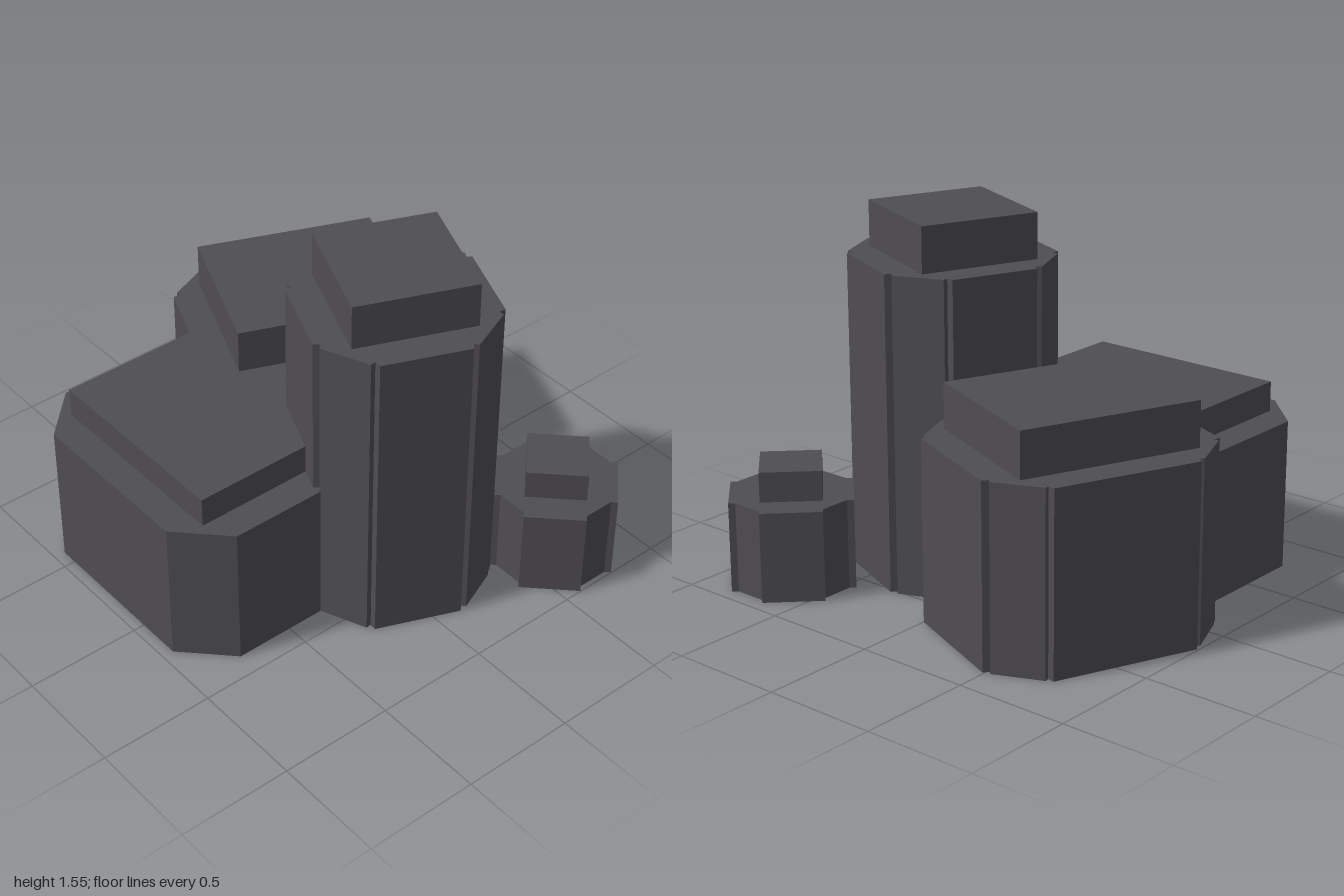
import * as THREE from 'three';

// Plan outline of a chamfered block: half sizes hu, hv, flat half lengths fu, fv,
// with a small notch beside every flat side (depth n, lip l).
function outline({ hu, hv, fu, fv, n, l }) {
  const half = (h, f) => {
    const pts = [[h, f]];
    if (n > 0) pts.push([h - n, f + l * 0.3]);
    if (l > 0) pts.push([h - n + l * 0.4, f + l]);
    return pts;
  };
  const quarter = [...half(hu, fv), ...half(hv, fu).map(([a, b]) => [b, a]).reverse()];
  const flip = (sx, sz) => quarter.map(([x, z]) => [x * sx, z * sz]);
  return [...flip(1, 1), ...flip(-1, 1).reverse(), ...flip(-1, -1), ...flip(1, -1).reverse()];
}

// Closed solid from stacked copies of one outline; each level is [y, scale].
function stack(pts, levels) {
  const pos = [];
  const at = ([y, s], i) => {
    const [x, z] = pts[i % pts.length];
    return [x * s, y, z * s];
  };
  const first = levels[0], last = levels[levels.length - 1];
  for (let i = 0; i < pts.length; i++) {
    pos.push(0, first[0], 0, ...at(first, i), ...at(first, i + 1));
    for (let k = 0; k + 1 < levels.length; k++) {
      const a = levels[k], b = levels[k + 1];
      pos.push(...at(a, i), ...at(b, i), ...at(a, i + 1));
      pos.push(...at(a, i + 1), ...at(b, i), ...at(b, i + 1));
    }
    pos.push(0, last[0], 0, ...at(last, i + 1), ...at(last, i));
  }
  const geo = new THREE.BufferGeometry();
  geo.setAttribute('position', new THREE.Float32BufferAttribute(pos, 3));
  geo.computeVertexNormals();
  return geo;
}

// Each rock: centre, turn, plan outline, shoulder height, cap half sizes and cap top
const rocks = [
  { name: 'tallRock', x: 0.09, z: 0.335, turn: -22.5, shoulder: 1.36, top: 1.555, cap: [0.258, 0.258],
    plan: { hu: 0.39, hv: 0.39, fu: 0.187, fv: 0.187, n: 0.03, l: 0.03 } },
  { name: 'backRock', x: 0.28, z: -0.445, turn: -22.5, shoulder: 0.78, top: 0.975, cap: [0.39, 0.328],
    plan: { hu: 0.52, hv: 0.462, fu: 0.317, fv: 0.265, n: 0.03, l: 0.025 } },
  { name: 'lowRock', x: -0.465, z: -0.187, turn: 0, shoulder: 0.65, top: 0.78, cap: [0.355, 0.45],
    plan: { hu: 0.485, hv: 0.585, fu: 0.29, fv: 0.387, n: 0, l: 0 } },
  { name: 'smallRock', x: 0.67, z: 0.725, turn: -45, shoulder: 0.39, top: 0.52, cap: [0.129, 0.129],
    plan: { hu: 0.257, hv: 0.257, fu: 0.129, fv: 0.129, n: 0.029, l: 0 } },
];

export function createModel() {
  const stone = new THREE.MeshStandardMaterial({ color: 0x4f4d52 });
  stone.name = 'darkStone';
  stone.flatShading = true;

  const model = new THREE.Group();
  model.name = 'rockCluster';
  for (const r of rocks) {
    const rock = new THREE.Group();
    rock.name = r.name;
    rock.position.set(r.x, 0, r.z);
    rock.rotation.y = THREE.MathUtils.degToRad(r.turn);

    // Column with a shallow hollow underneath
    const hollow = r.plan.hu * 0.12;
    const column = new THREE.Mesh(
      stack(outline(r.plan), [[hollow, 0.72], [0, 1], [r.shoulder, 1]]), stone);
    column.name = 'column';

    // Square cap on the shoulder
    const height = r.top - r.shoulder;
    const cap = new THREE.Mesh(new THREE.BoxGeometry(r.cap[0] * 2, height, r.cap[1] * 2), stone);
    cap.name = 'cap';
    cap.position.y = r.shoulder + height / 2;

    rock.add(column, cap);
    model.add(rock);
  }
  return model;
}
